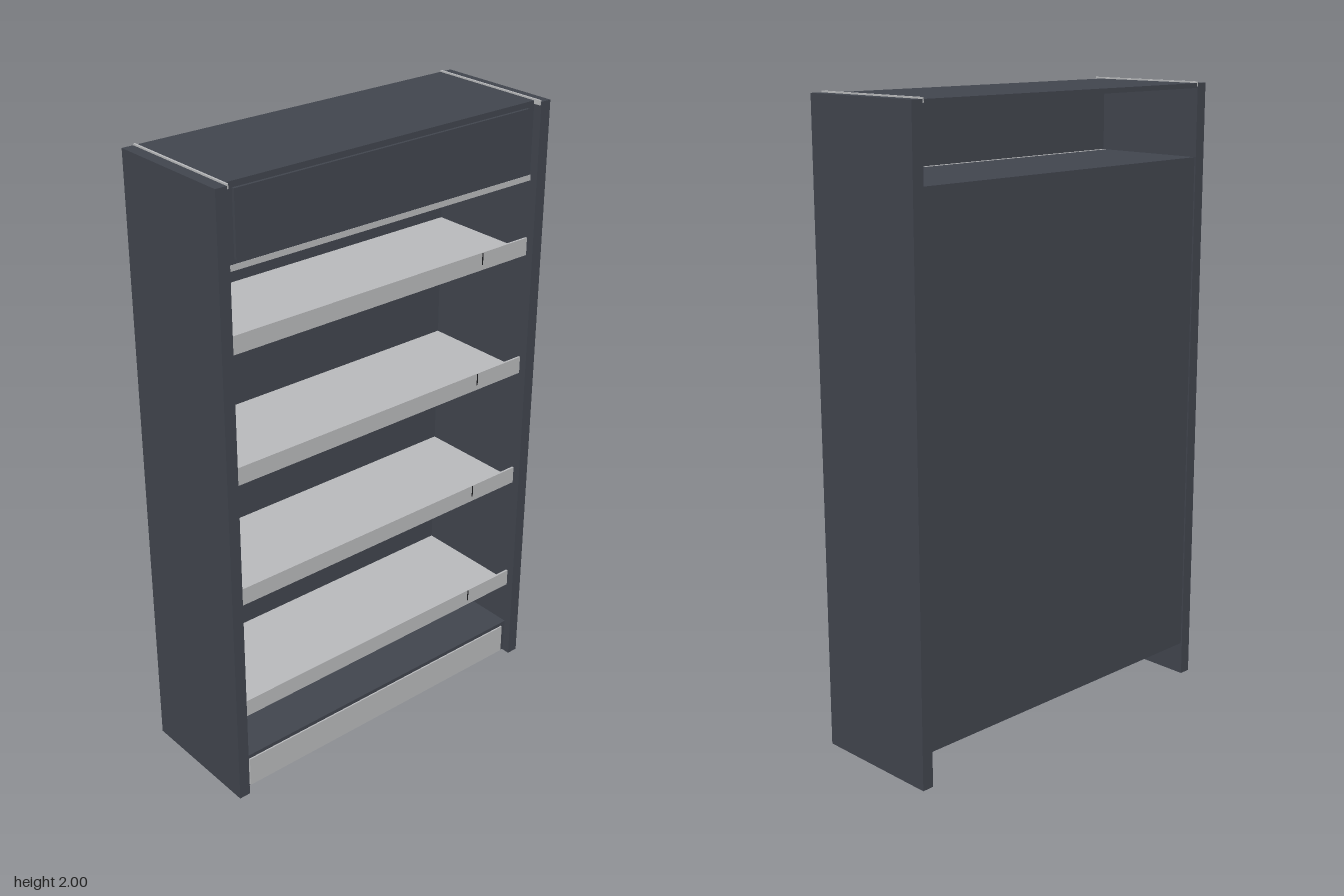
import * as THREE from 'three';

export function createModel() {
  const root = new THREE.Group();
  root.name = 'displayShelf';
  const mat = (name, color) => {
    const m = new THREE.MeshStandardMaterial({ color });
    m.name = name;
    return m;
  };
  const dark = mat('slateGrey', 0x41454e);
  const light = mat('lightGrey', 0xb9babc);
  const black = mat('seamBlack', 0x1c1d20);

  // Box given by its lower and upper corners
  const box = (name, m, x0, x1, y0, y1, z0, z1, parent = root) => {
    const mesh = new THREE.Mesh(new THREE.BoxGeometry(x1 - x0, y1 - y0, z1 - z0), m);
    mesh.position.set((x0 + x1) / 2, (y0 + y1) / 2, (z0 + z1) / 2);
    mesh.name = name;
    parent.add(mesh);
    return mesh;
  };

  // Side panels with a pale trim line along the top inner edge
  for (const s of [-1, 1]) {
    const side = new THREE.Group();
    side.name = s > 0 ? 'leftSide' : 'rightSide';
    root.add(side);
    const span = (a, b) => (s > 0 ? [a, b] : [-b, -a]);
    box('sidePanel', dark, ...span(0.572, 0.61), 0, 1.995, -0.215, 0.215, side);
    box('topTrim', light, ...span(0.567, 0.573), 1.985, 2, -0.215, 0.213, side);
  }

  // Carcass: top, back, and the two fixed decks
  box('topPanel', dark, -0.568, 0.568, 1.98, 1.995, -0.215, 0.19);
  box('backPanel', dark, -0.572, 0.572, 0.11, 1.755, -0.21, -0.195);
  box('upperDeck', dark, -0.572, 0.572, 1.75, 1.765, -0.21, 0.185);
  box('bottomDeck', dark, -0.572, 0.572, 0.11, 0.125, -0.2, 0.19);

  // Header sign box with a raised plate and a pale strip below it
  box('headerPanel', dark, -0.568, 0.568, 1.765, 1.985, 0.175, 0.19);
  box('headerPlate', dark, -0.54, 0.54, 1.78, 1.977, 0.19, 0.199);
  box('lightStrip', light, -0.57, 0.57, 1.748, 1.766, 0.165, 0.191);

  // Kick board with a pale face
  box('kickBoard', dark, -0.572, 0.572, 0.004, 0.11, 0.17, 0.188);
  box('kickFace', light, -0.553, 0.553, 0.01, 0.112, 0.188, 0.195);

  // Shelves with front lips, brackets and a lip seam
  for (const y of [0.28, 0.69, 1.098, 1.505]) {
    const shelf = new THREE.Group();
    shelf.name = 'shelf';
    root.add(shelf);
    box('shelfBoard', light, -0.571, 0.571, y, y + 0.014, -0.195, 0.185, shelf);
    box('shelfLip', light, -0.571, 0.571, y, y + 0.057, 0.183, 0.19, shelf);
    box('lipSeam', black, 0.379, 0.383, y + 0.017, y + 0.056, 0.19, 0.191, shelf);

    // Tapered bracket plate at each end, under the board
    const shape = new THREE.Shape();
    shape.moveTo(-0.195, 0);
    shape.lineTo(-0.195, -0.145);
    shape.lineTo(-0.16, -0.145);
    shape.lineTo(0.15, -0.03);
    shape.lineTo(0.15, 0);
    const geo = new THREE.ExtrudeGeometry(shape, { depth: 0.005, bevelEnabled: false });
    geo.rotateY(-Math.PI / 2);
    for (const x of [-0.566, 0.571]) {
      const bracket = new THREE.Mesh(geo, dark);
      bracket.name = 'shelfBracket';
      bracket.position.set(x, y, 0);
      shelf.add(bracket);
    }
  }
  return root;
}
